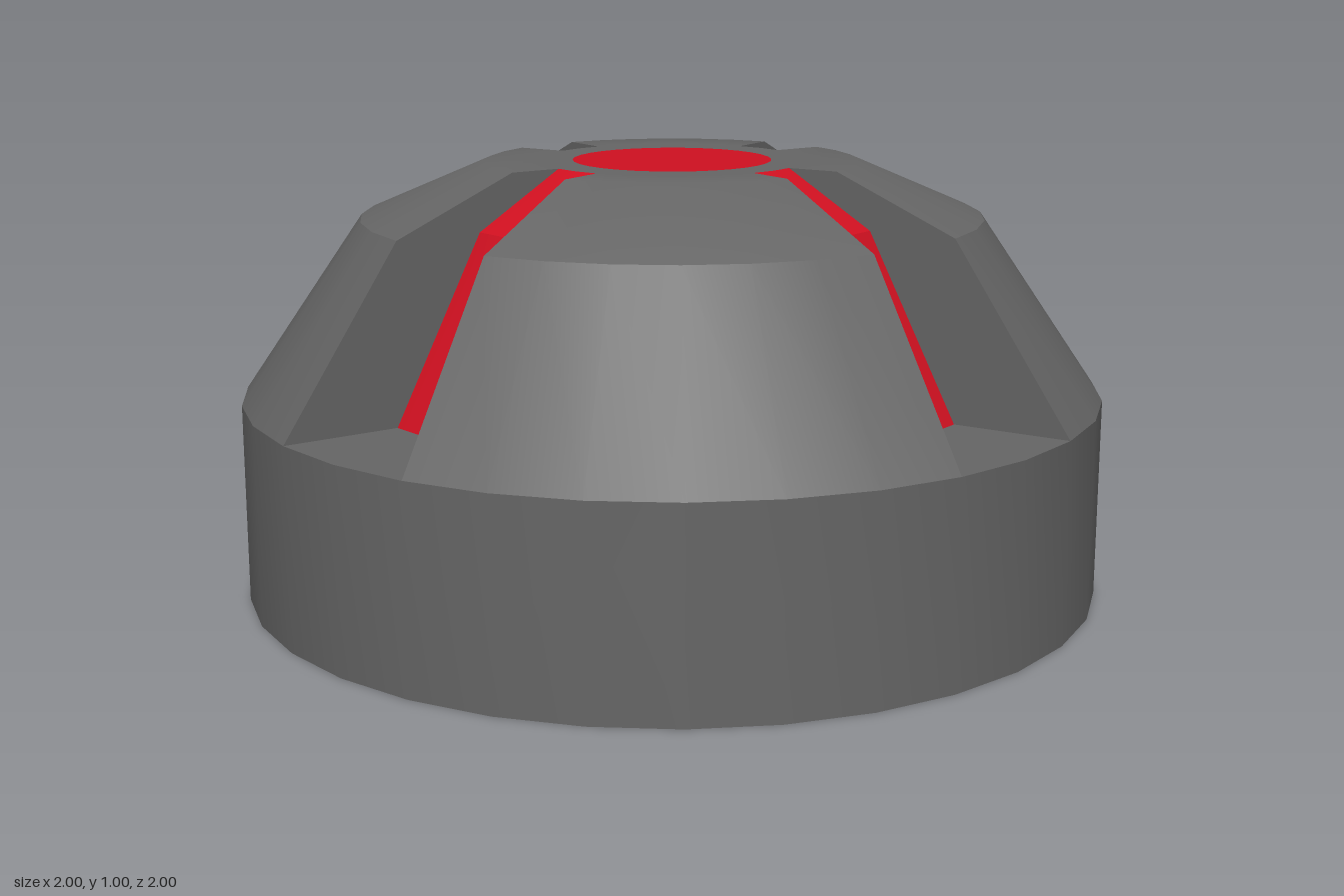
import * as THREE from 'three';
import { mergeGeometries, toCreasedNormals } from 'three/addons/utils/BufferGeometryUtils.js';

const STEP = Math.PI / 16; // one of 32 sides
const TOP = 0.995, RIM = 0.46, SHOULDER = 0.87;
const OUTER = [[1, RIM], [0.72, SHOULDER], [0.43, TOP], [0.31, TOP]]; // dome profile
const INNER = [[0.73, RIM], [0.515, SHOULDER], [0.31, TOP]]; // slot floor profile

// Revolve a profile over a number of sides, starting at a given side
function sweep(profile, start = 0, sides = 32) {
  const points = profile.map(([r, y]) => new THREE.Vector2(r, y));
  return new THREE.LatheGeometry(points, sides, start * STEP, sides * STEP);
}

// Flat slot wall between the dome and slot profiles; dir is 1 or -1
function slotWall(dir, turn) {
  const outline = [...OUTER, ...INNER.slice(0, 2).reverse()];
  const shape = new THREE.Shape(outline.map(([r, y]) => new THREE.Vector2(r * dir, y)));
  const wall = new THREE.ShapeGeometry(shape);
  return wall.rotateY((dir > 0 ? 0 : Math.PI) + dir * STEP + turn);
}

export function createModel() {
  const model = new THREE.Group();
  const grey = new THREE.MeshStandardMaterial({ color: 0x666666 });
  const red = new THREE.MeshStandardMaterial({ color: 0xd01020 });

  function add(name, parts, material) {
    const geometry = toCreasedNormals(mergeGeometries(parts), Math.PI / 6);
    const mesh = new THREE.Mesh(geometry, material);
    mesh.name = name;
    model.add(mesh);
  }

  // Drum with closed underside
  add('base', [sweep([[0, 0], [1, 0], [1, RIM]])], grey);

  // Dome: four quarters, slot walls and ledges, and the flat crown ring
  const dome = [sweep([[0.31, TOP], [0.23, TOP]])];
  for (let i = 0; i < 4; i++) {
    const turn = i * Math.PI / 2;
    dome.push(sweep(OUTER, 1 + 8 * i, 6));
    dome.push(sweep([[1, RIM], [0.73, RIM]], 8 * i - 1, 2));
    dome.push(slotWall(1, turn), slotWall(-1, turn));
    // Red floor of each slot
    add('slotPanel' + (i + 1), [sweep(INNER, 8 * i - 1, 2)], red);
  }
  add('dome', dome, grey);

  // Red disc flush with the crown
  add('topDisc', [new THREE.CircleGeometry(0.23, 32).rotateX(-Math.PI / 2).translate(0, TOP, 0)], red);

  return model;
}
